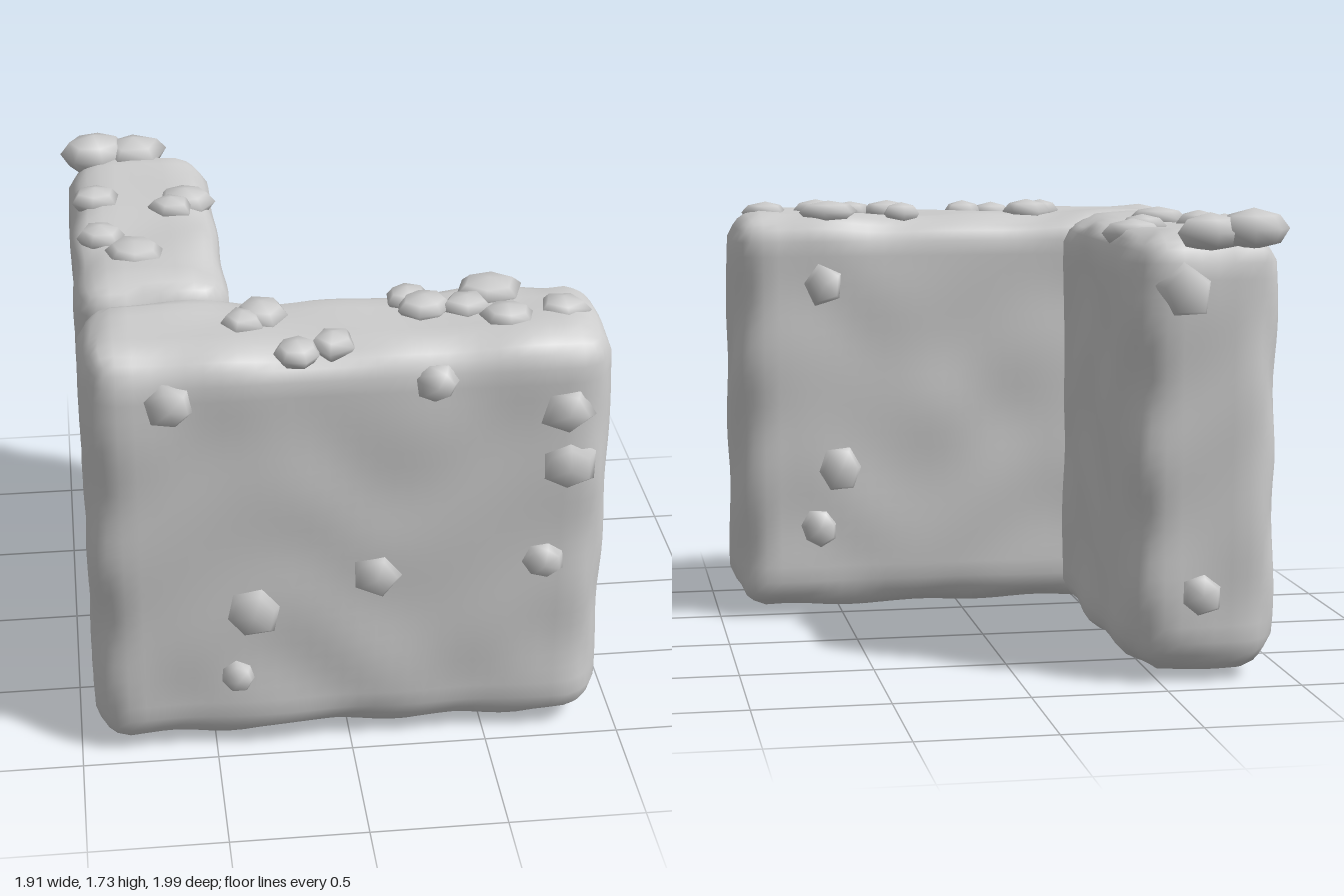
import * as THREE from 'three';
import { mergeVertices } from 'three/addons/utils/BufferGeometryUtils.js';

// Smooth, repeatable unevenness without a visible direction
const wave = (a, b, c) =>
  (Math.sin(a * 12 + 2 * Math.sin(b * 5 + c)) + Math.sin(b * 13 + 2 * Math.sin(a * 6 - c * 2)))
  * 0.5;

// Box with rounded edges, gently uneven faces and a sagging top
function slabGeometry(min, max, radius, seed) {
  const size = max.clone().sub(min);
  const centre = min.clone().add(max).multiplyScalar(0.5);
  const inner = size.clone().multiplyScalar(0.5).subScalar(radius);
  const outer = inner.clone().negate();
  const segs = size.toArray().map((s) => Math.round(s / 0.06));
  let geo = new THREE.BoxGeometry(size.x, size.y, size.z, ...segs);
  geo.deleteAttribute('normal');
  geo.deleteAttribute('uv');
  geo = mergeVertices(geo);
  const pos = geo.attributes.position;
  const p = new THREE.Vector3(), core = new THREE.Vector3(), n = new THREE.Vector3();
  for (let i = 0; i < pos.count; i++) {
    p.fromBufferAttribute(pos, i);
    core.copy(p).clamp(outer, inner);
    n.copy(p).sub(core).normalize();
    p.copy(core).addScaledVector(n, radius);
    // calm broad faces, rougher and slightly worn rims
    const flat = Math.max(Math.abs(n.x), Math.abs(n.y), Math.abs(n.z)) > 0.97;
    const bump = n.x * n.x * wave(p.y, p.z, seed) + n.y * n.y * wave(p.x, p.z, seed + 1)
      + n.z * n.z * wave(p.x, p.y, seed + 2);
    p.addScaledVector(n, flat ? 0.008 * bump : 0.02 * bump - 0.005);
    if (n.y > 0) {
      const along = size.x > size.z ? p.x / size.x : p.z / size.z;
      p.y -= 0.025 * n.y * Math.cos(along * Math.PI);
    }
    p.add(centre);
    pos.setXYZ(i, p.x, p.y, p.z);
  }
  geo.computeVertexNormals();
  return geo;
}

// Rough angular pebble with a domed top along local z and a polygonal outline
function pebbleGeometry(seed, sides) {
  const profile = [[0, -1], [0.75, -0.7], [1, 0], [0.72, 0.65], [0, 1]]
    .map(([r, z]) => new THREE.Vector2(r, z));
  let geo = new THREE.LatheGeometry(profile, sides);
  geo.rotateX(Math.PI / 2);
  geo.deleteAttribute('normal');
  geo.deleteAttribute('uv');
  geo = mergeVertices(geo);
  const pos = geo.attributes.position;
  for (let i = 0; i < pos.count; i++) {
    const x = pos.getX(i), y = pos.getY(i);
    const k = 1.04 + 0.08 * Math.sin(seed * 3.1 + Math.atan2(y, x) * 2);
    pos.setXYZ(i, x * k, y * k, pos.getZ(i));
  }
  geo.computeVertexNormals();
  return geo;
}

export function createModel() {
  const group = new THREE.Group();
  const stone = new THREE.MeshStandardMaterial({ color: 0xcccccc });
  stone.name = 'grey stone';

  const add = (name, geo) => {
    const mesh = new THREE.Mesh(geo, stone);
    mesh.name = name;
    group.add(mesh);
    return mesh;
  };

  // Two walls set in an L
  const V = (x, y, z) => new THREE.Vector3(x, y, z);
  add('frontWall', slabGeometry(V(-0.94, 0.04, 0.412), V(0.934, 1.662, 0.956), 0.13, 1));
  add('sideWall', slabGeometry(V(-0.94, 0.04, -0.92), V(-0.382, 1.662, 0.396), 0.13, 4));

  let seed = 0;
  const pebble = (name, x, y, z, r, depth, axis) => {
    seed++;
    const mesh = add(name, pebbleGeometry(seed, 5 + (seed % 3)));
    mesh.position.set(x, y, z);
    mesh.scale.set(r, r, depth);
    if (axis === 'y') mesh.rotation.x = -Math.PI / 2;
    mesh.rotateZ(seed * 1.3);
  };

  // Pebbles on the front face: x, y, radius
  [[-0.64, 1.47, 0.09], [0.29, 1.505, 0.075], [0.755, 1.37, 0.098], [0.77, 1.15, 0.105],
    [0.695, 0.76, 0.08], [0.085, 0.74, 0.1], [-0.36, 0.61, 0.11], [-0.42, 0.335, 0.068],
  ].forEach(([x, y, r]) => pebble('frontPebble', x, y, 0.945, r, 0.053, 'z'));

  // Pebbles on the back of the front wall
  [[0.575, 1.37, 0.088], [0.515, 0.62, 0.1], [0.6, 0.38, 0.08],
  ].forEach(([x, y, r]) => pebble('backPebble', x, y, 0.425, r, 0.05, 'z'));

  // Pebbles on the far end of the side wall
  [[-0.575, 1.44, 0.11], [-0.64, 0.34, 0.085],
  ].forEach(([x, y, r]) => pebble('endPebble', x, y, -0.905, r, 0.053, 'z'));

  // Pebbles along the tops: x, y, z, radius, half height
  [[-0.83, 1.66, -0.87, 0.125, 0.075], [-0.67, 1.65, -0.87, 0.125, 0.07],
    [-0.84, 1.64, -0.45, 0.09, 0.05], [-0.49, 1.62, -0.44, 0.105, 0.055],
    [-0.55, 1.64, -0.34, 0.085, 0.045], [-0.83, 1.635, -0.11, 0.09, 0.05],
    [-0.71, 1.645, 0.06, 0.11, 0.045], [-0.36, 1.645, 0.68, 0.08, 0.045],
    [-0.29, 1.645, 0.62, 0.1, 0.05], [-0.19, 1.625, 0.89, 0.085, 0.045],
    [-0.06, 1.63, 0.85, 0.085, 0.05], [0.24, 1.645, 0.55, 0.08, 0.045],
    [0.29, 1.65, 0.63, 0.095, 0.045], [0.44, 1.65, 0.64, 0.09, 0.04],
    [0.54, 1.655, 0.53, 0.115, 0.045], [0.57, 1.65, 0.74, 0.09, 0.045],
    [0.78, 1.645, 0.69, 0.09, 0.045],
  ].forEach(([x, y, z, r, d]) => pebble('topPebble', x, y, z, r, d, 'y'));

  // Small bumps underneath
  [[-0.74, 0.045, 0.7, 0.08], [0.4, 0.045, 0.65, 0.07], [-0.6, 0.045, -0.5, 0.07],
  ].forEach(([x, y, z, r]) => pebble('basePebble', x, y, z, r, 0.035, 'y'));

  return group;
}
